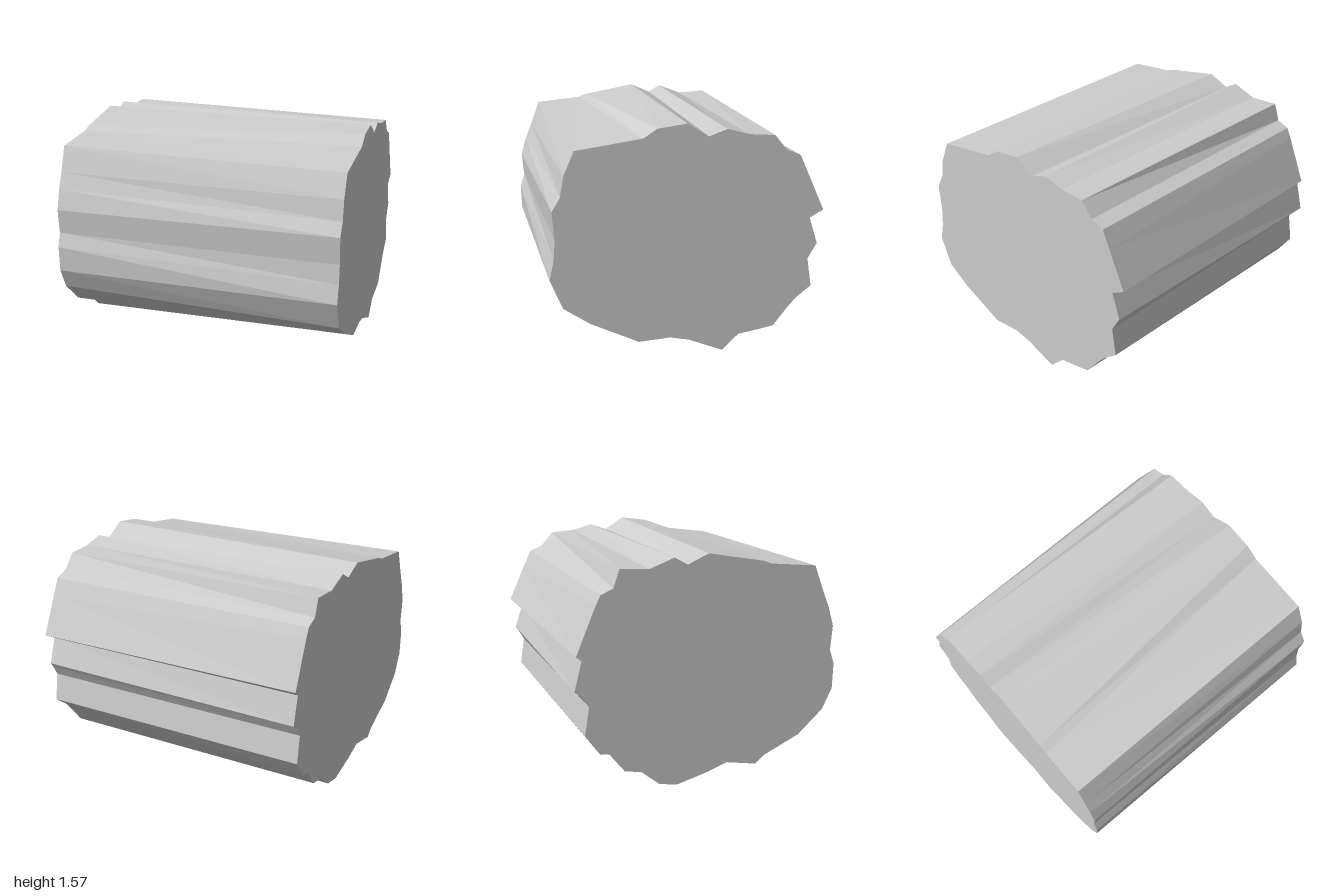
import * as THREE from 'three';

// Outline corners, clockwise from the top: z, y at the left (+x) end, then z, y at the right (-x) end
const corners = [
  [0.02, 1.575, -0.015, 1.565], [-0.125, 1.486, -0.16, 1.5], [-0.25, 1.53, -0.25, 1.55],
  [-0.4, 1.49, -0.42, 1.485], [-0.575, 1.477, -0.62, 1.495], [-0.66, 1.375, -0.66, 1.375],
  [-0.755, 1.337, -0.745, 1.337], [-0.81, 1.217, -0.78, 1.265],
  [-0.93, 0.953, -0.91, 0.95], [-0.835, 0.902, -0.875, 0.92], [-0.893, 0.72, -0.925, 0.72],
  [-0.87, 0.685, -0.875, 0.69], [-0.83, 0.615, -0.83, 0.615], [-0.86, 0.42, -0.86, 0.42],
  [-0.755, 0.34, -0.76, 0.285], [-0.7, 0.28, -0.7, 0.28], [-0.595, 0.15, -0.595, 0.15],
  [-0.48, 0.13, -0.48, 0.13], [-0.35, 0.11, -0.355, 0.03], [-0.235, 0.003, -0.23, 0.01],
  [0, 0.098, -0.01, 0.072], [0.13, 0.125, 0.13, 0.125], [0.345, 0.112, 0.345, 0.088],
  [0.405, 0.142, 0.405, 0.142], [0.665, 0.265, 0.665, 0.265], [0.845, 0.385, 0.845, 0.43],
  [0.93, 0.585, 0.915, 0.575], [0.9, 0.715, 0.922, 0.752], [0.89, 0.85, 0.89, 0.85],
  [0.905, 1.04, 0.905, 1.02], [0.85, 1.13, 0.865, 1.16], [0.825, 1.27, 0.82, 1.27],
  [0.755, 1.428, 0.755, 1.445], [0.31, 1.49, 0.43, 1.475], [0.215, 1.55, 0.37, 1.497],
];

export function createModel() {
  const group = new THREE.Group();
  const grey = new THREE.MeshStandardMaterial({ color: 0xcccccc });
  grey.name = 'lightGrey';
  const add = (name, geometry) => {
    const mesh = new THREE.Mesh(geometry, grey);
    mesh.name = name;
    group.add(mesh);
  };

  // Ridged side wall, one flat strip per outline edge
  const left = corners.map(([z, y]) => [1, y, z]);
  const right = corners.map(([, , z, y]) => [-1, y, z]);
  const positions = [];
  for (let i = 0; i < corners.length; i++) {
    const j = (i + 1) % corners.length;
    positions.push(...left[i], ...left[j], ...right[j], ...left[i], ...right[j], ...right[i]);
  }
  const wall = new THREE.BufferGeometry();
  wall.setAttribute('position', new THREE.Float32BufferAttribute(positions, 3));
  wall.computeVertexNormals();
  add('ridgedWall', wall);

  // Flat ends
  const addEnd = (name, ring, side) => {
    const shape = new THREE.Shape(ring.map(([, y, z]) => new THREE.Vector2(-side * z, y)));
    add(name, new THREE.ShapeGeometry(shape).rotateY(side * Math.PI / 2).translate(side, 0, 0));
  };
  addEnd('leftEnd', left, 1);
  addEnd('rightEnd', right, -1);

  return group;
}
